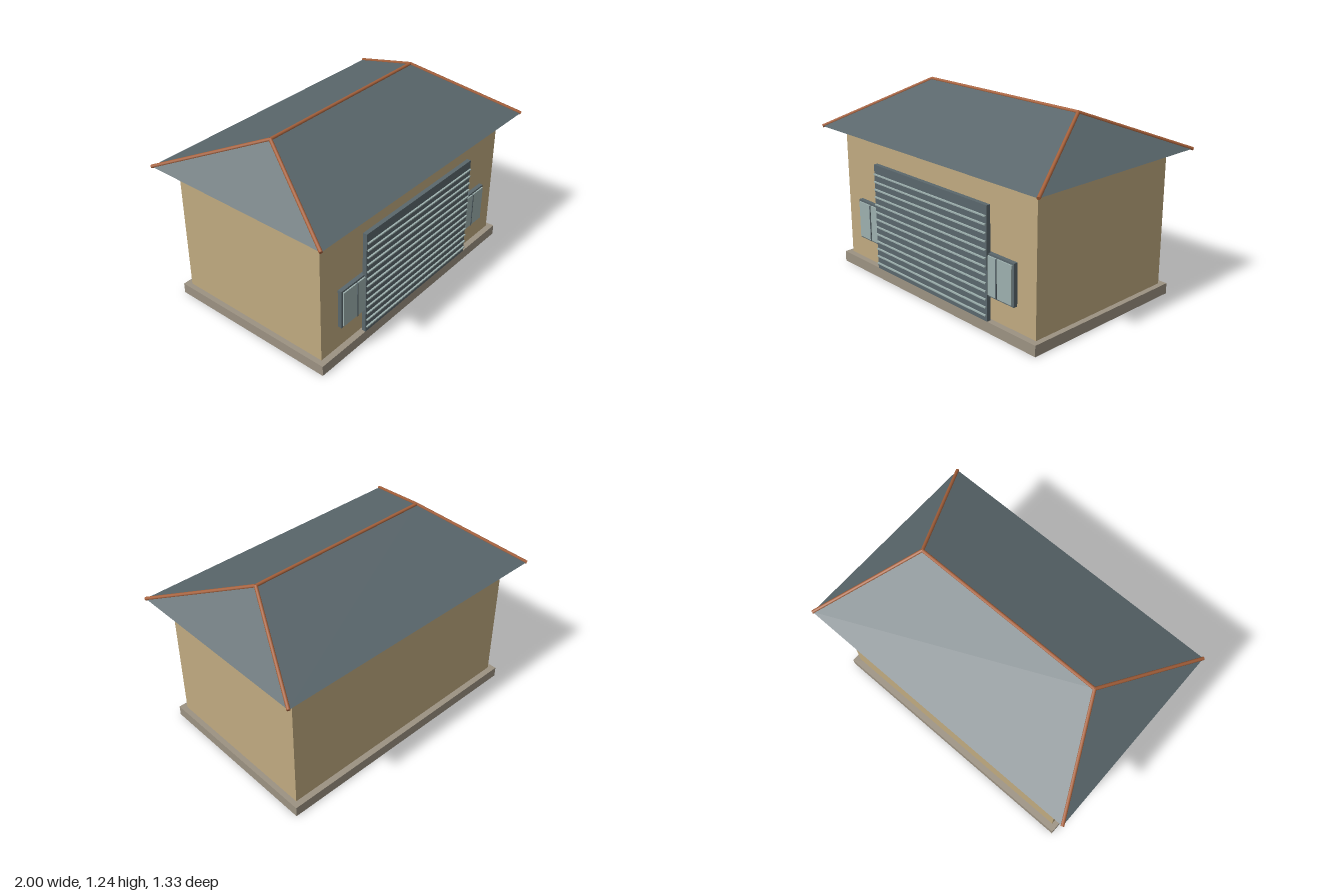
import * as THREE from 'three';

const mat = (name, color, extra = {}) => {
  const m = new THREE.MeshStandardMaterial({ color, ...extra });
  m.name = name;
  return m;
};

export function createModel() {
  const wall = mat('sand wall', 0xc0aa80);
  const stone = mat('plinth stone', 0x9c9282);
  const slate = mat('slate grey', 0x5a676c);
  const glass = mat('pale glass', 0x9db0ae);
  const clay = mat('clay trim', 0xa8623c);

  const group = new THREE.Group();
  group.name = 'garage';

  // Box given by its minimum and maximum corners
  const box = (name, material, [x0, y0, z0], [x1, y1, z1], parent = group) => {
    const mesh = new THREE.Mesh(new THREE.BoxGeometry(x1 - x0, y1 - y0, z1 - z0), material);
    mesh.position.set((x0 + x1) / 2, (y0 + y1) / 2, (z0 + z1) / 2);
    mesh.name = name;
    parent.add(mesh);
  };

  // Base and walls
  box('plinth', stone, [-0.915, 0, -0.59], [0.915, 0.07, 0.59]);
  box('walls', wall, [-0.88, 0.07, -0.55], [0.88, 0.955, 0.55]);

  // Hip roof with a flat underside
  const A = [-0.99, 0.955, 0.66], B = [0.99, 0.955, 0.66];
  const C = [0.99, 0.955, -0.66], D = [-0.99, 0.955, -0.66];
  const L = [-0.655, 1.23, 0], R = [0.655, 1.23, 0];
  const faces = [[A, B, R], [A, R, L], [C, D, L], [C, L, R], [B, C, R], [D, A, L], [A, D, C], [A, C, B]];
  const roofGeometry = new THREE.BufferGeometry();
  roofGeometry.setAttribute('position', new THREE.Float32BufferAttribute(faces.flat(2), 3));
  roofGeometry.computeVertexNormals();
  const roof = new THREE.Mesh(roofGeometry, slate);
  roof.name = 'roof';
  group.add(roof);

  // Clay caps along the ridge and the four hips
  const cap = (name, from, to) => {
    const a = new THREE.Vector3(...from), b = new THREE.Vector3(...to);
    const dir = b.clone().sub(a);
    const mesh = new THREE.Mesh(new THREE.CylinderGeometry(0.011, 0.011, dir.length(), 8), clay);
    mesh.position.copy(a).add(b).multiplyScalar(0.5);
    mesh.quaternion.setFromUnitVectors(new THREE.Vector3(0, 1, 0), dir.normalize());
    mesh.name = name;
    group.add(mesh);
  };
  cap('ridgeCap', L, R);
  for (const [corner, top] of [[A, L], [D, L], [B, R], [C, R]]) cap('hipCap', corner, top);

  // Roller door with raised slats
  const door = new THREE.Group();
  door.name = 'rollerDoor';
  group.add(door);
  box('doorPanel', slate, [-0.527, 0.07, 0.563], [0.527, 0.78, 0.591], door);
  for (let i = 0; i < 13; i++) {
    const y = 0.108 + i * 0.0508;
    box('doorSlat', glass, [-0.522, y - 0.004, 0.591], [0.522, y + 0.004, 0.602], door);
  }
  // Inner door behind the roller panel
  box('innerDoor', clay, [-0.12, 0.07, 0.55], [0.12, 0.515, 0.564]);

  // Two-pane windows on either side
  for (const side of [-1, 1]) {
    const win = new THREE.Group();
    win.name = side > 0 ? 'leftWindow' : 'rightWindow';
    win.position.set(side * 0.6, 0.36, 0);
    group.add(win);
    box('windowFrame', slate, [-0.132, -0.133, 0.55], [0.132, 0.133, 0.577], win);
    box('windowPane', glass, [-0.12, -0.121, 0.577], [-0.004, 0.121, 0.586], win);
    box('windowPane', glass, [0.004, -0.121, 0.577], [0.12, 0.121, 0.586], win);
    box('mullion', slate, [-0.004, -0.121, 0.577], [0.004, 0.121, 0.591], win);
  }
  return group;
}
